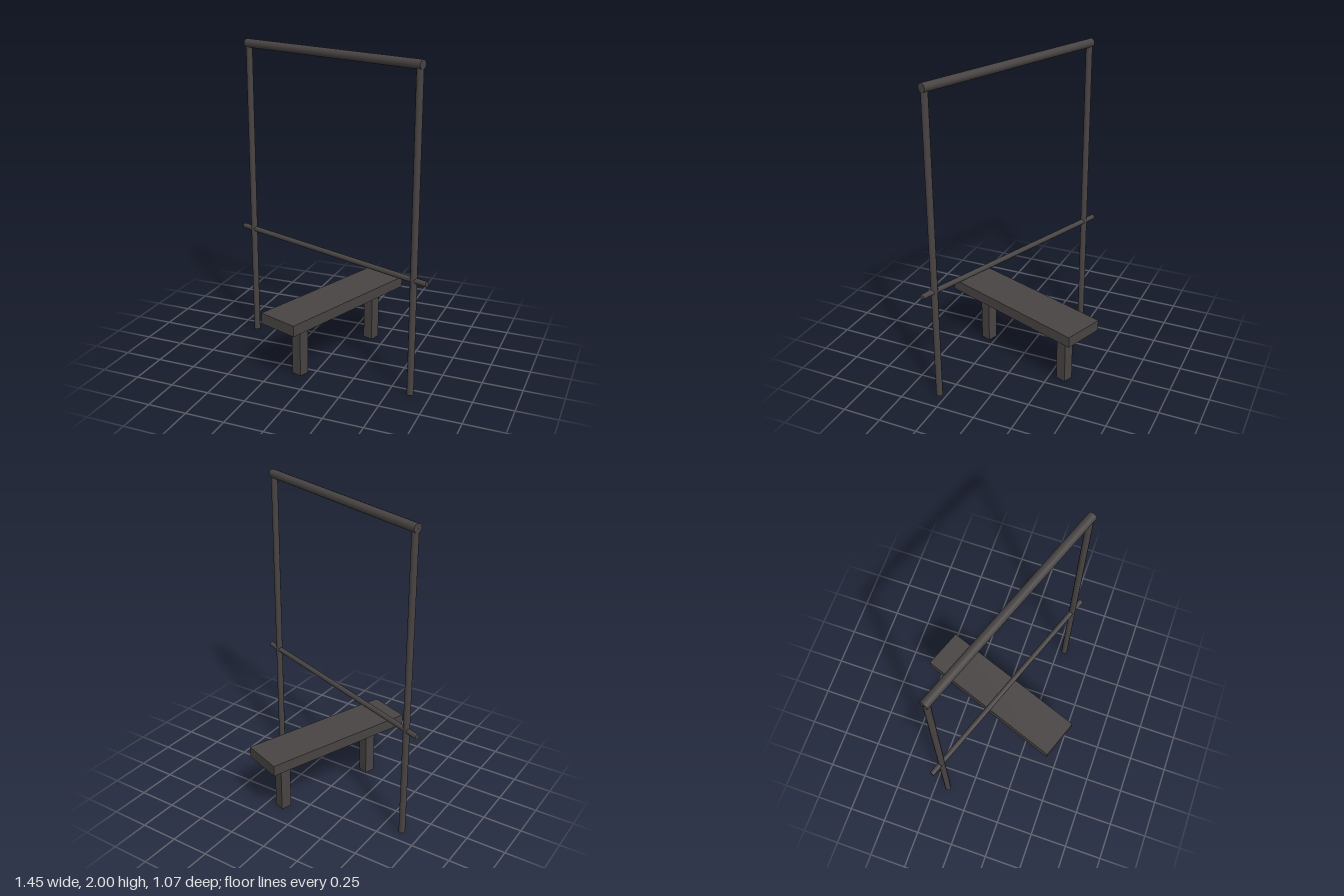
import * as THREE from 'three';

export function createModel() {
  const model = new THREE.Group();
  model.name = 'benchPressStation';
  const darkGrey = new THREE.MeshStandardMaterial({ color: 0x484443 });
  darkGrey.name = 'dark grey';

  function add(parent, name, geometry, x, y, z) {
    const mesh = new THREE.Mesh(geometry, darkGrey);
    mesh.name = name;
    mesh.position.set(x, y, z);
    parent.add(mesh);
    return mesh;
  }
  const rod = (radius, length) => new THREE.CylinderGeometry(radius, radius, length, 12);
  const turn = -THREE.MathUtils.degToRad(20);

  // Rack: two posts, a top beam and a thin bar resting across them
  const rack = new THREE.Group();
  rack.name = 'rack';
  rack.position.set(-0.001, 0, 0.068);
  rack.rotation.y = turn;
  model.add(rack);
  for (const side of [1, -1]) {
    add(rack, side > 0 ? 'leftPost' : 'rightPost', rod(0.021, 1.972), side * 0.671, 0.986, 0);
  }
  add(rack, 'topBeam', rod(0.028, 1.38), 0, 1.972, 0).rotation.z = Math.PI / 2;
  add(rack, 'bar', rod(0.017, 1.533), 0, 0.737, 0).rotation.z = Math.PI / 2;

  // Bench: flat board on two square legs
  const bench = new THREE.Group();
  bench.name = 'bench';
  bench.position.set(0.022, 0, 0);
  bench.rotation.y = turn;
  model.add(bench);
  add(bench, 'benchBoard', new THREE.BoxGeometry(0.275, 0.07, 1.034), 0, 0.395, 0);
  add(bench, 'frontLeg', new THREE.BoxGeometry(0.07, 0.36, 0.07), 0, 0.18, 0.325);
  add(bench, 'backLeg', new THREE.BoxGeometry(0.07, 0.36, 0.07), 0, 0.18, -0.365);

  return model;
}
